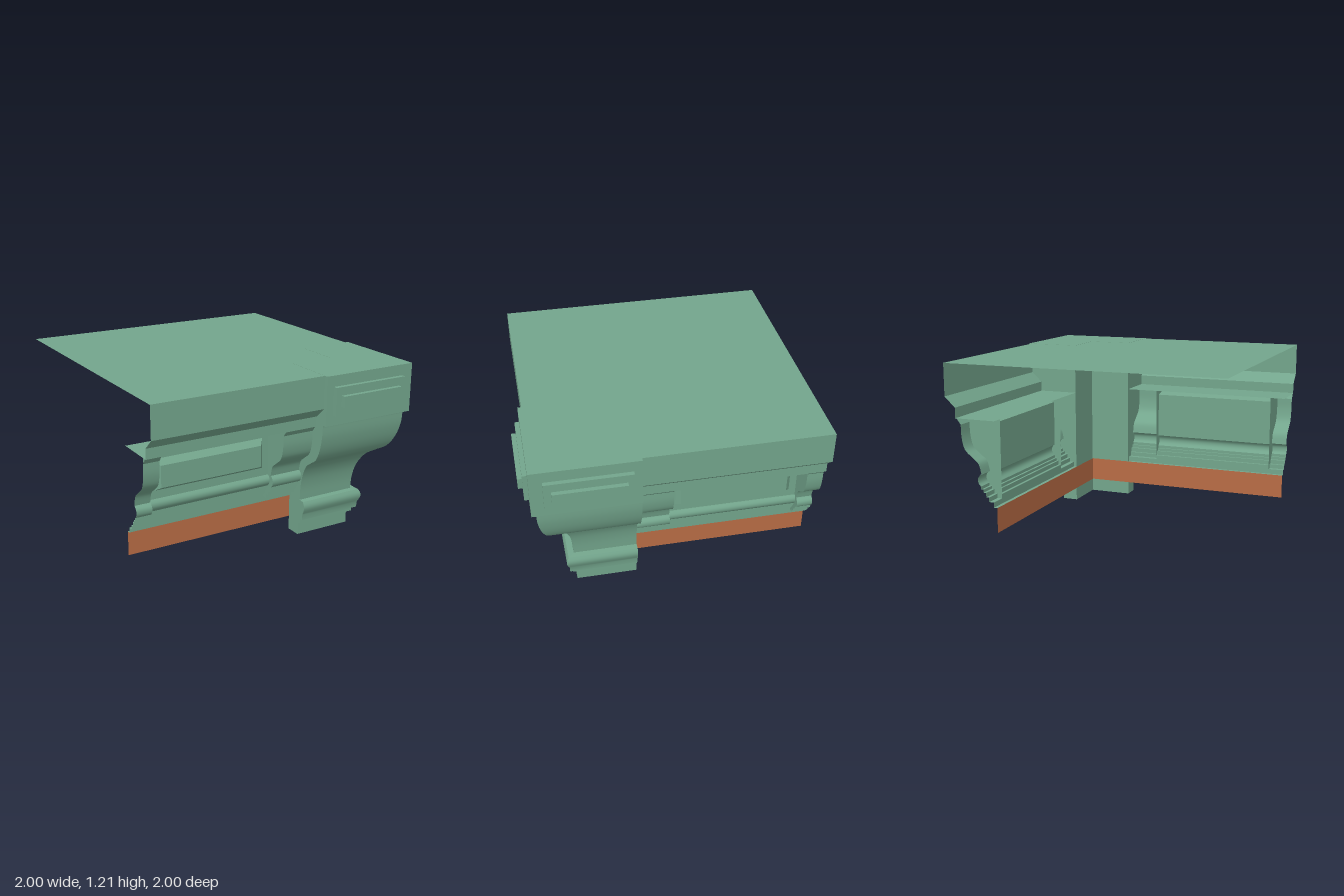
import * as THREE from 'three';
import { toCreasedNormals } from 'three/addons/utils/BufferGeometryUtils.js';

const green = new THREE.MeshStandardMaterial({ color: 0x73a58c, side: THREE.DoubleSide });
const rust = new THREE.MeshStandardMaterial({ color: 0xb86c45, side: THREE.DoubleSide });
const TOP = 1.207, WALL = 0.55;

function mesh(name, geometry, material = green) {
  const m = new THREE.Mesh(geometry, material);
  m.name = name;
  return m;
}

// Smooth curve through [depth, height] points
function curve(points, n = 20) {
  return new THREE.SplineCurve(points.map(p => new THREE.Vector2(...p)))
    .getPoints(n).map(p => [p.x, p.y]);
}

// Sweep a [depth, height] profile along x; without an end it is mitred at 45 degrees
function sweep(profile, start, end) {
  const pos = [];
  for (let i = 0; i < profile.length - 1; i++) {
    const [d0, y0] = profile[i], [d1, y1] = profile[i + 1];
    const e0 = end ?? d0, e1 = end ?? d1;
    pos.push(start, y0, d0, start, y1, d1, e1, y1, d1);
    pos.push(start, y0, d0, e1, y1, d1, e0, y0, d0);
  }
  const g = new THREE.BufferGeometry();
  g.setAttribute('position', new THREE.Float32BufferAttribute(pos, 3));
  return toCreasedNormals(g, 0.5);
}

// Flat end plate closing a profile at x = at
function cap(profile, at) {
  const g = new THREE.ShapeGeometry(new THREE.Shape(profile.map(p => new THREE.Vector2(...p))));
  return g.rotateY(-Math.PI / 2).translate(at, 0, 0);
}

// Box given by its limits
function box(x0, x1, y0, y1, z0, z1) {
  return new THREE.BoxGeometry(x1 - x0, y1 - y0, z1 - z0)
    .translate((x0 + x1) / 2, (y0 + y1) / 2, (z0 + z1) / 2);
}

// Raised panel: front corners drawn in to form bevels
function raisedPanel() {
  const g = box(-0.85, -0.03, 0.53, 0.76, 0.61, 0.655);
  const p = g.attributes.position;
  for (let i = 0; i < p.count; i++) {
    if (p.getZ(i) < 0.63) continue;
    p.setX(i, p.getX(i) < -0.44 ? -0.81 : -0.07);
    p.setY(i, p.getY(i) < 0.6 ? 0.56 : 0.71);
  }
  g.computeVertexNormals();
  return g;
}

const cornice = [[0.915, TOP], [0.915, 0.985], [0.84, 0.915], [0.84, 0.845], [0.81, 0.845]];

const frieze = [
  [0.81, 0.845], [0.62, 0.805], [0.62, 0.48],
  ...curve([[0.625, 0.48], [0.642, 0.455], [0.64, 0.425], [0.62, 0.4]], 8),
  [0.62, 0.38], [0.605, 0.38], [0.605, 0.36], [0.59, 0.36], [0.59, 0.33], [0.57, 0.33], [0.57, 0.3],
];

const bracket = [
  [0.83, 0.845], [0.8, 0.805],
  ...curve([[0.8, 0.8], [0.797, 0.72], [0.775, 0.64], [0.72, 0.59], [0.675, 0.55], [0.655, 0.48]]),
  ...curve([[0.662, 0.48], [0.682, 0.455], [0.68, 0.42], [0.662, 0.4]], 8),
  [0.662, 0.38], [0.645, 0.38], [0.645, 0.36], [0.625, 0.36], [0.625, 0.33],
  [0.605, 0.33], [0.605, 0.3], [0.57, 0.3],
];

const corner = [
  [WALL, TOP], [0.94, TOP], [0.94, 0.87], [0.912, 0.87],
  ...curve([[0.91, 0.865], [0.905, 0.78], [0.883, 0.685], [0.845, 0.61], [0.79, 0.57],
    [0.74, 0.53], [0.7, 0.45], [0.681, 0.36], [0.675, 0.265]], 32),
  ...curve([[0.715, 0.262], [0.728, 0.235], [0.728, 0.205], [0.712, 0.165]], 8),
  [0.71, 0.125], [0.685, 0.125], [0.685, 0.092], [0.66, 0.092], [0.66, 0], [WALL, 0], [WALL, TOP],
];

// One wing with its half of the corner, facing +z
function createSide() {
  const side = new THREE.Group();
  side.add(
    mesh('cornice', sweep(cornice, -1, 0.24)),
    mesh('soffitShelf', sweep([[0.84, 0.845], [WALL, 0.845]], -1, 0.24)),
    mesh('frieze', sweep(frieze, -0.89, 0.01)),
    mesh('raisedPanel', raisedPanel()),
    mesh('lowerTrim', sweep([[0.57, 0.3], [0.57, 0.265], [0.545, 0.265]], -1, 0.24)),
    mesh('wallBand', sweep([[0.545, 0.265], [0.545, 0.095]], -1), rust),
  );
  // Scrolled brackets on both sides of the panel
  const outline = [[0.57, 0.845], ...bracket];
  for (const [x0, x1, inner] of [[-1, -0.89, -0.89], [0.01, 0.24, 0.01]]) {
    side.add(mesh('bracket', sweep(bracket, x0, x1)));
    side.add(mesh('bracketCheek', cap(outline, inner)));
  }
  // Corner block with its plaque
  side.add(
    mesh('cornerBlock', sweep(corner, 0.24)),
    mesh('cornerCheek', cap(corner.slice(0, -1), 0.24)),
    mesh('plaque', box(0.295, 0.857, 0.94, 1.132, 0.93, 0.97)),
    mesh('plaqueCentre', box(0.338, 0.81, 1.0, 1.075, 0.96, 1.0)),
  );
  return side;
}

export function createModel() {
  const model = new THREE.Group();
  model.name = 'corniceCorner';

  const front = createSide();
  front.name = 'frontSide';
  // The other side swaps x and z
  const right = createSide();
  right.name = 'leftSide';
  right.scale.x = -1;
  right.rotation.y = Math.PI / 2;

  // Thin top sheet
  const top = new THREE.PlaneGeometry(1.915, 1.915).rotateX(-Math.PI / 2)
    .translate(-0.0425, TOP - 0.001, -0.0425);
  model.add(front, right, mesh('topSheet', top));
  return model;
}
